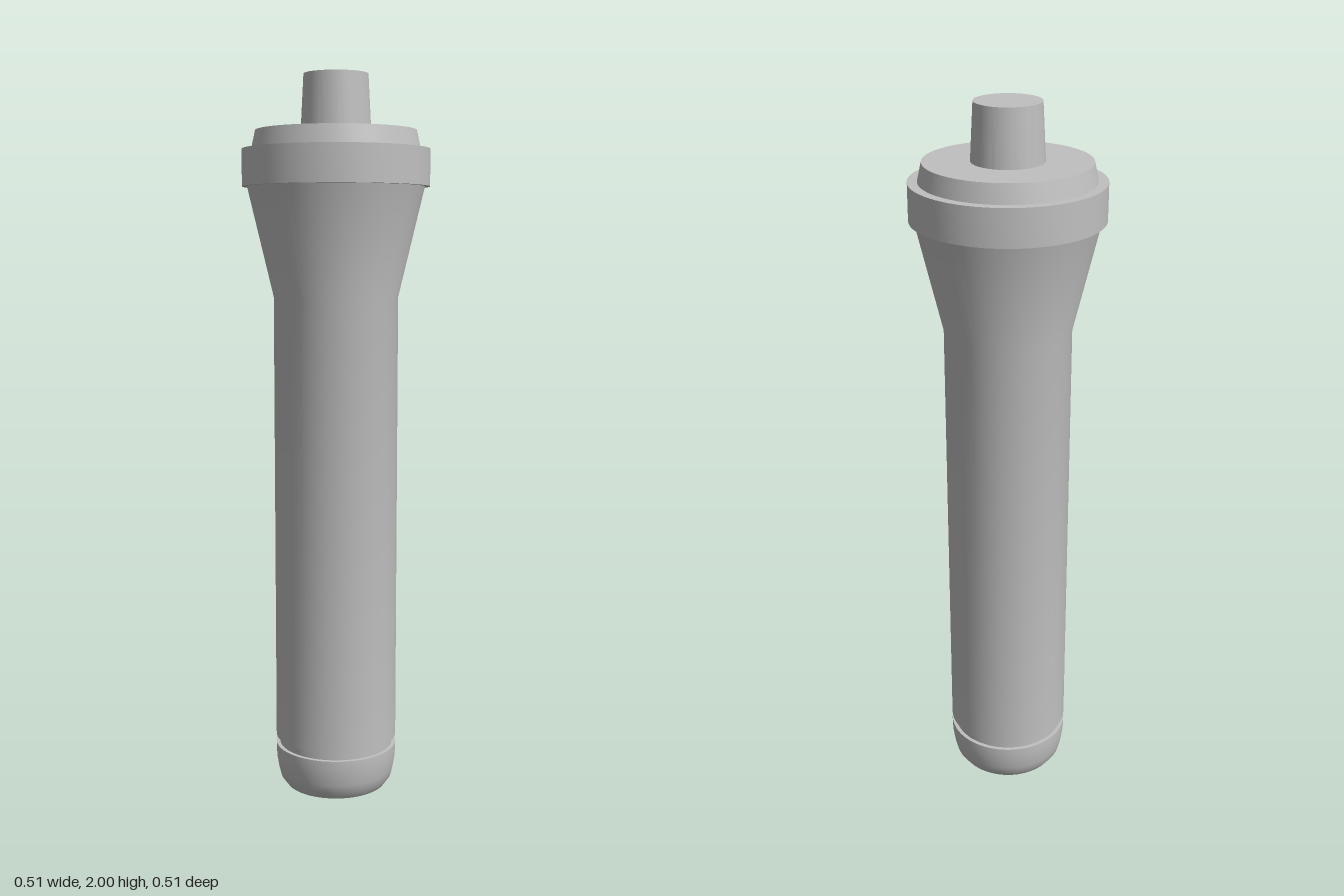
import * as THREE from 'three';
import { toCreasedNormals } from 'three/addons/utils/BufferGeometryUtils.js';

const metal = new THREE.MeshStandardMaterial({ color: 0xc0c0c0 });
metal.name = 'light grey metal';

// Turned part from [radius, height] pairs, listed bottom to top
function turned(name, profile) {
  const points = profile.map(([r, y]) => new THREE.Vector2(r, y));
  const geometry = toCreasedNormals(new THREE.LatheGeometry(points, 72), 0.4);
  const mesh = new THREE.Mesh(geometry, metal);
  mesh.name = name;
  return mesh;
}

export function createModel() {
  const group = new THREE.Group();
  group.name = 'flangedPin';

  // Rounded foot, retaining groove, straight shank and flared neck
  group.add(turned('shank', [
    [0, 0], [0.143, 0], [0.159, 0.022], [0.165, 0.045], [0.17, 0.075], [0.172, 0.1],
    [0.172, 0.12], [0.161, 0.12], [0.161, 0.143], [0.172, 0.143],
    [0.172, 1.4], [0.243, 1.7],
  ]));

  // Wide flange with a tapered cap on top
  group.add(turned('flange', [
    [0, 1.7], [0.257, 1.7], [0.257, 1.8], [0.231, 1.8], [0.22, 1.85], [0.096, 1.85],
  ]));

  // Slightly tapered tip
  group.add(turned('tip', [[0.096, 1.85], [0.088, 2], [0, 2]]));

  return group;
}
